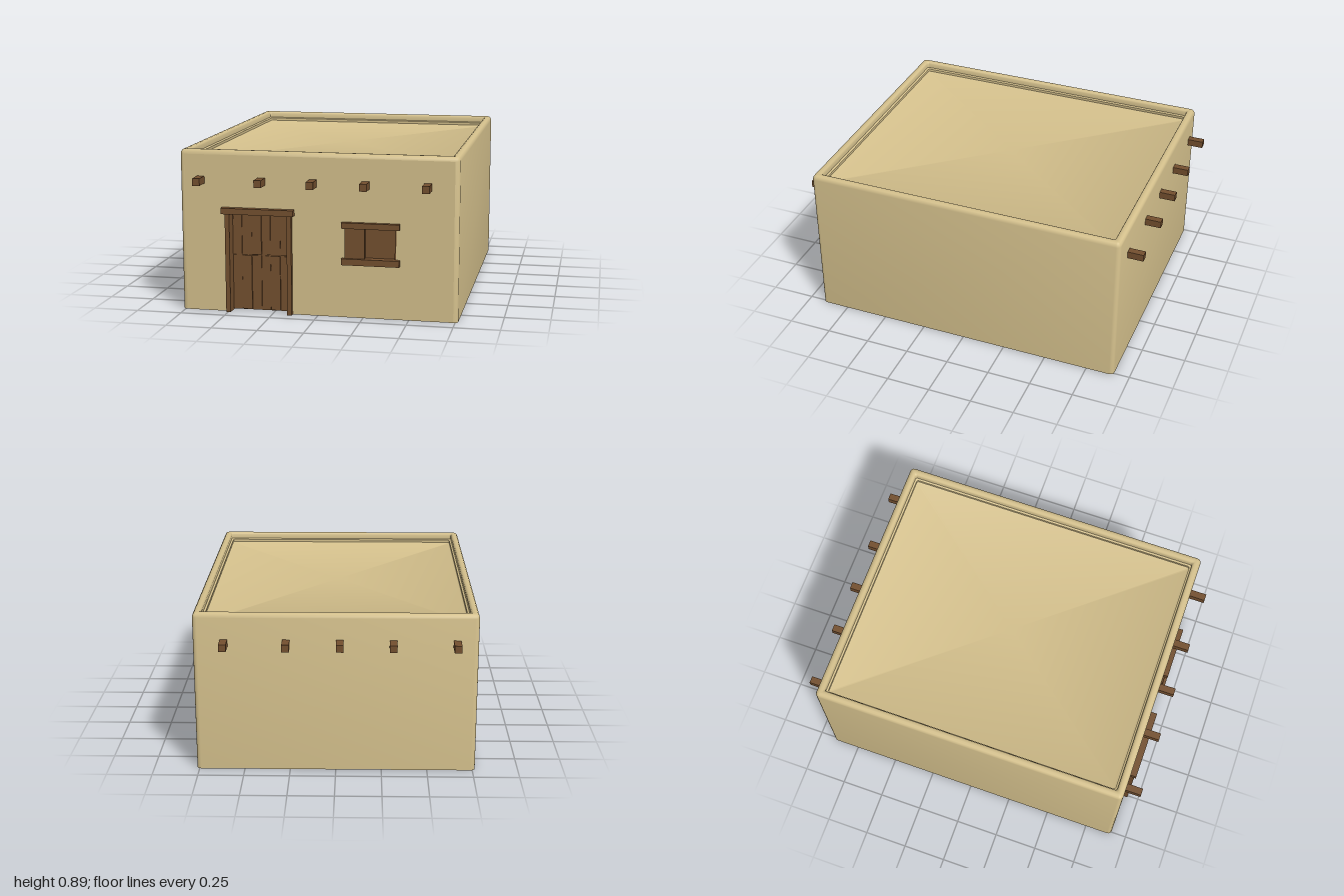
import * as THREE from 'three';
import { toCreasedNormals } from 'three/addons/utils/BufferGeometryUtils.js';

const HX = 0.765, HZ = 0.91, R = 0.025;   // outer half sizes, corner radius
const IX = 0.72, IZ = 0.86, CEIL = 0.74;  // room half sizes, ceiling height
const WALL_TOP = 0.87;
const DOOR = { x0: -0.505, x1: -0.145, top: 0.56 };
const WIN = { x0: 0.15, x1: 0.43, y0: 0.32, y1: 0.5 };

const adobe = new THREE.MeshStandardMaterial({ color: 0xd4c08c, side: THREE.DoubleSide });
const wood = new THREE.MeshStandardMaterial({ color: 0x74502f });
const lining = new THREE.MeshStandardMaterial({ color: 0x74502f, side: THREE.DoubleSide });

function addMesh(parent, name, geometry, material) {
  const mesh = new THREE.Mesh(geometry, material);
  mesh.name = name;
  parent.add(mesh);
  return mesh;
}

// Box given by its limits on each axis
function addBox(parent, name, [x0, x1], [y0, y1], [z0, z1]) {
  const g = new THREE.BoxGeometry(x1 - x0, y1 - y0, z1 - z0);
  g.translate((x0 + x1) / 2, (y0 + y1) / 2, (z0 + z1) / 2);
  return addMesh(parent, name, g, wood);
}

// Flat front wall with a door notch and a window hole
function frontWall(halfWidth, height, z) {
  const s = new THREE.Shape();
  s.moveTo(-halfWidth, 0);
  s.lineTo(DOOR.x0, 0);
  s.lineTo(DOOR.x0, DOOR.top);
  s.lineTo(DOOR.x1, DOOR.top);
  s.lineTo(DOOR.x1, 0);
  s.lineTo(halfWidth, 0);
  s.lineTo(halfWidth, height);
  s.lineTo(-halfWidth, height);
  s.closePath();
  const h = new THREE.Path();
  h.moveTo(WIN.x0, WIN.y0);
  h.lineTo(WIN.x0, WIN.y1);
  h.lineTo(WIN.x1, WIN.y1);
  h.lineTo(WIN.x1, WIN.y0);
  h.closePath();
  s.holes.push(h);
  return new THREE.ShapeGeometry(s).translate(0, 0, z);
}

// Rounded rectangle ring at a given inset and height
const CORNER = 5;
function ring(inset, y) {
  const r = Math.max(R - inset, 0.01), pts = [];
  const signs = [[1, 1], [-1, 1], [-1, -1], [1, -1]];
  signs.forEach(([sx, sz], c) => {
    for (let i = 0; i < CORNER; i++) {
      const a = (c + i / (CORNER - 1)) * Math.PI / 2;
      pts.push([sx * (HX - inset - r) + r * Math.cos(a), y, sz * (HZ - inset - r) + r * Math.sin(a)]);
    }
  });
  return pts;
}

// Side walls, rounded parapet and sunken roof, as stacked rings
function shellGeometry() {
  const profile = [
    [0, 0], [0, WALL_TOP], [0.003, 0.882], [0.01, 0.891], [0.02, 0.895], [0.033, 0.895],
    [0.041, 0.891], [0.045, 0.882], [0.045, 0.858], [0.056, 0.853], [0.056, 0.838], [0.066, 0.832],
  ];
  const rings = profile.map(([i, y]) => ring(i, y));
  const n = rings[0].length, pos = [];
  const tri = (...p) => p.forEach(v => pos.push(...v));
  for (let k = 0; k < rings.length - 1; k++) {
    for (let i = 0; i < n; i++) {
      if (k === 0 && i === CORNER - 1) continue; // front wall goes here
      const j = (i + 1) % n, a = rings[k], b = rings[k + 1];
      tri(a[i], b[i], a[j]);
      tri(a[j], b[i], b[j]);
    }
  }
  const top = rings[rings.length - 1], centre = [0, top[0][1], 0];
  for (let i = 0; i < n; i++) tri(centre, top[(i + 1) % n], top[i]);
  const g = new THREE.BufferGeometry();
  g.setAttribute('position', new THREE.Float32BufferAttribute(pos, 3));
  return toCreasedNormals(g, Math.PI / 4);
}

function addRoom(parent) {
  const room = new THREE.Group();
  room.name = 'room';
  parent.add(room);
  addMesh(room, 'innerFrontWall', frontWall(IX, CEIL, IZ), lining);
  addMesh(room, 'innerBackWall', new THREE.PlaneGeometry(2 * IX, CEIL), lining).position.set(0, CEIL / 2, -IZ);
  for (const s of [-1, 1]) {
    const side = addMesh(room, 'innerSideWall', new THREE.PlaneGeometry(2 * IZ, CEIL), lining);
    side.rotation.y = -s * Math.PI / 2;
    side.position.set(s * IX, CEIL / 2, 0);
  }
  const ceiling = addMesh(room, 'ceiling', new THREE.PlaneGeometry(2 * IX, 2 * IZ), lining);
  ceiling.rotation.x = Math.PI / 2;
  ceiling.position.y = CEIL;
}

function addDoor(parent) {
  const door = new THREE.Group();
  door.name = 'door';
  parent.add(door);
  // Frame reaches through the wall
  addBox(door, 'doorPost', [-0.51, -0.485], [0, 0.55], [0.835, 0.935]);
  addBox(door, 'doorPost', [-0.165, -0.14], [0, 0.55], [0.835, 0.935]);
  addBox(door, 'doorLintel', [-0.53, -0.127], [0.55, 0.583], [0.825, 0.945]);
  addBox(door, 'doorPanel', [-0.485, -0.165], [0.004, 0.55], [0.852, 0.866]);
  // Uneven planks in an upper and a lower row
  const seams = [-0.482, -0.43, -0.375, -0.32, -0.27, -0.215, -0.168];
  const rows = [[0.008, 0.312], [0.318, 0.54]];
  rows.forEach((row, r) => {
    for (let i = 0; i < seams.length - 1; i++) {
      const out = 0.003 * ((i * 2 + r) % 3);
      addBox(door, 'doorPlank', [seams[i], seams[i + 1] - 0.002], row, [0.849 - out, 0.87 + out]);
    }
  });
}

function addWindow(parent) {
  const win = new THREE.Group();
  win.name = 'window';
  parent.add(win);
  addBox(win, 'windowLintel', [0.135, 0.45], [0.495, 0.527], [0.835, 0.937]);
  addBox(win, 'windowSill', [0.135, 0.45], [0.295, 0.33], [0.835, 0.937]);
  addBox(win, 'windowJamb', [0.145, 0.158], [0.33, 0.495], [0.855, 0.909]);
  addBox(win, 'windowJamb', [0.422, 0.435], [0.33, 0.495], [0.855, 0.909]);
  addBox(win, 'shutter', [0.151, 0.26], [0.33, 0.495], [0.875, 0.922]);
  addBox(win, 'shutter', [0.26, 0.429], [0.33, 0.495], [0.865, 0.89]);
}

export function createModel() {
  const house = new THREE.Group();
  house.name = 'house';
  addMesh(house, 'wallsAndRoof', shellGeometry(), adobe);
  addMesh(house, 'frontWall', frontWall(HX - R, WALL_TOP, HZ), adobe);
  addRoom(house);
  addDoor(house);
  addWindow(house);
  // Roof beam ends, front and back
  for (const x of [-0.648, -0.308, -0.023, 0.265, 0.598]) {
    addBox(house, 'beamEnd', [x - 0.02, x + 0.02], [0.711, 0.751], [0.88, 1]);
    addBox(house, 'beamEnd', [x - 0.02, x + 0.02], [0.711, 0.751], [-1, -0.88]);
  }
  return house;
}
